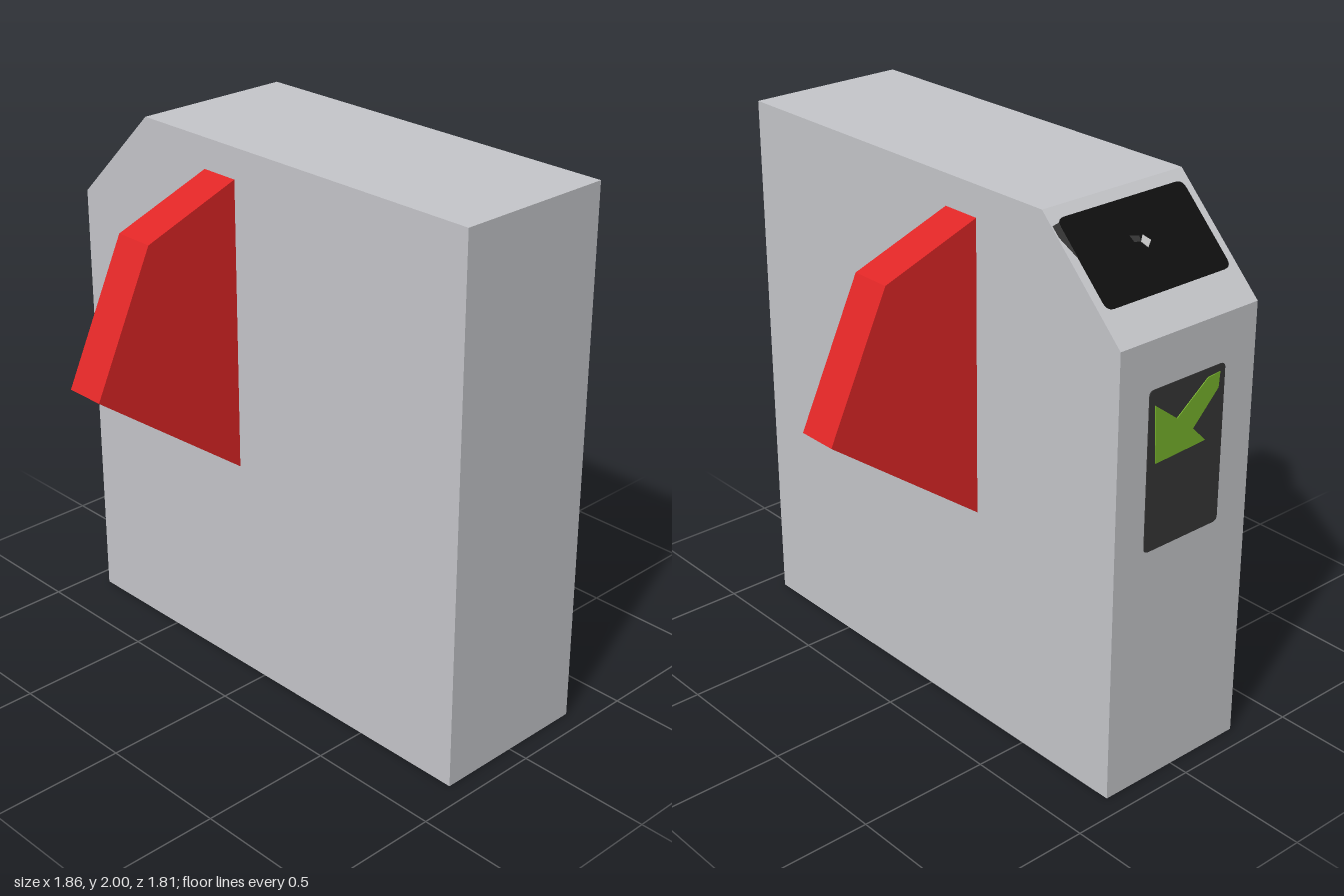
import * as THREE from 'three';

const material = (name, color) => {
  const m = new THREE.MeshStandardMaterial({ color });
  m.name = name;
  return m;
};

const polygon = (points) => new THREE.Shape(points.map(([x, y]) => new THREE.Vector2(x, y)));

function roundedRect(x0, y0, x1, y1, r) {
  const s = new THREE.Shape();
  s.moveTo(x0 + r, y0);
  s.lineTo(x1 - r, y0).quadraticCurveTo(x1, y0, x1, y0 + r);
  s.lineTo(x1, y1 - r).quadraticCurveTo(x1, y1, x1 - r, y1);
  s.lineTo(x0 + r, y1).quadraticCurveTo(x0, y1, x0, y1 - r);
  s.lineTo(x0, y0 + r).quadraticCurveTo(x0, y0, x0 + r, y0);
  return s;
}

const extrude = (shape, depth) =>
  new THREE.ExtrudeGeometry(shape, { depth, bevelEnabled: false, curveSegments: 5 });

export function createModel() {
  const group = new THREE.Group();
  const grey = material('grey casing', 0xc6c7cb);
  const red = material('red barrier', 0xe02626);
  const black = material('black reader', 0x0e0e0e);
  const dark = material('dark display', 0x363636);
  const green = material('green arrow', 0x78b42c);
  const pale = material('pale mark', 0xc8c8c8);
  const add = (parent, name, geometry, mat) => {
    const mesh = new THREE.Mesh(geometry, mat);
    mesh.name = name;
    parent.add(mesh);
    return mesh;
  };

  // Casing with one sloping upper corner
  const outline = polygon([[-0.925, 0], [0.925, 0], [0.925, 2], [-0.57, 2], [-0.925, 1.645]]);
  add(group, 'casing', extrude(outline, 0.61).translate(0, 0, -0.305), grey);

  // Paddles on both faces, profiles drawn in (z, y)
  const profile = [[0.3, 0.82], [0.905, 1.268], [0.675, 1.755], [0.3, 1.89]];
  for (const [name, side] of [['frontPaddle', 1], ['backPaddle', -1]]) {
    const shape = polygon(profile.map(([z, y]) => [z * side, y]));
    add(group, name, extrude(shape, 0.15).rotateY(-Math.PI / 2).translate(-0.113, 0, 0), red);
  }

  // Reader plate on the slope: local x runs up the slope, y points outwards
  const slope = new THREE.Group();
  slope.name = 'slopeReader';
  slope.position.set(-0.7475, 1.8225, 0);
  slope.rotation.z = Math.PI / 4;
  group.add(slope);
  const onSlope = (shape, depth) => extrude(shape, depth).rotateX(-Math.PI / 2);
  add(slope, 'readerPlate', onSlope(roundedRect(-0.118, -0.275, 0.208, 0.273, 0.03), 0.003), black);
  add(slope, 'readerTab', onSlope(polygon([[0.06, 0.27], [0.195, 0.27], [0.19, 0.3], [0.15, 0.3]]), 0.002), dark);
  add(slope, 'readerMark', onSlope(polygon([[0.03, 0], [0.05, -0.025], [0.075, -0.005], [0.055, 0.015]]), 0.005), pale);
  add(slope, 'readerShade', onSlope(polygon([[0.055, 0.015], [0.075, 0.01], [0.085, 0.045], [0.06, 0.04]]), 0.005), dark);

  // Display with a diagonal arrow on the end face, drawn in (z, y)
  const onEnd = (shape, depth) => extrude(shape, depth).rotateY(-Math.PI / 2).translate(-0.925, 0, 0);
  add(group, 'display', onEnd(roundedRect(-0.175, 0.9, 0.165, 1.475, 0.02), 0.003), dark);
  const arrow = polygon([
    [-0.14, 1.215], [0.085, 1.225], [0.025, 1.285], [0.135, 1.395],
    [0.14, 1.45], [0.085, 1.445], [-0.05, 1.345], [-0.15, 1.42],
  ]);
  add(group, 'displayArrow', onEnd(arrow, 0.006), green);

  return group;
}
